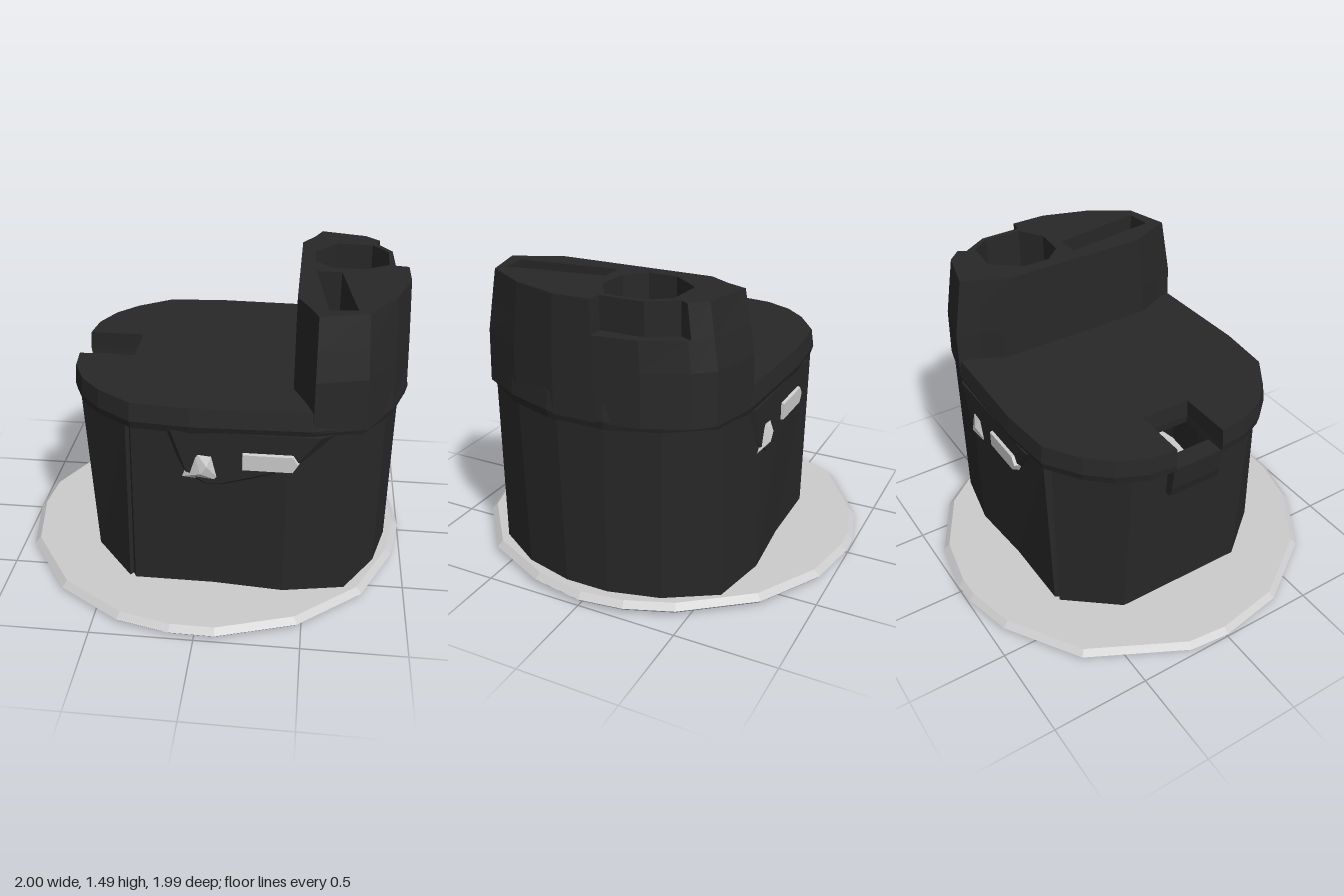
import * as THREE from 'three';
import { ConvexGeometry } from 'three/addons/geometries/ConvexGeometry.js';

const dark = new THREE.MeshStandardMaterial({ color: 0x282828, flatShading: true, side: THREE.DoubleSide });
const grey = new THREE.MeshStandardMaterial({ color: 0xcccccc, flatShading: true, side: THREE.DoubleSide });

// Outlines are [x, z] points running from -x past +z to +x and back past -z.
const mirrored = half => [...half, ...half.map(([x, z]) => [x, -z]).reverse()];
const scaled = (pts, sx, sz) => pts.map(([x, z]) => [x * sx, z * sz]);

// Walls through a stack of [y, outline] rings with equal point counts
function walls(rings) {
  const pos = [];
  for (let r = 0; r + 1 < rings.length; r++) {
    const [y0, lo] = rings[r], [y1, hi] = rings[r + 1];
    for (let i = 0; i < lo.length; i++) {
      const j = (i + 1) % lo.length;
      const a = [lo[i][0], y0, lo[i][1]], b = [lo[j][0], y0, lo[j][1]];
      const c = [hi[j][0], y1, hi[j][1]], d = [hi[i][0], y1, hi[i][1]];
      pos.push(...a, ...b, ...c, ...a, ...c, ...d);
    }
  }
  const g = new THREE.BufferGeometry();
  g.setAttribute('position', new THREE.Float32BufferAttribute(pos, 3));
  g.computeVertexNormals();
  return g;
}

// Flat horizontal face with holes
function cap(outline, y, holes = [], down = false) {
  const v = pts => pts.map(([x, z]) => new THREE.Vector2(x, down ? z : -z));
  const shape = new THREE.Shape(v(outline));
  shape.holes = holes.map(h => new THREE.Path(v(h)));
  return new THREE.ShapeGeometry(shape).rotateX(down ? Math.PI / 2 : -Math.PI / 2).translate(0, y, 0);
}

// Faceted solid between a back polygon and a front polygon, both [x, y]
function facet(back, zBack, front, zFront) {
  return new ConvexGeometry([
    ...back.map(([x, y]) => new THREE.Vector3(x, y, zBack)),
    ...front.map(([x, y]) => new THREE.Vector3(x, y, zFront)),
  ]);
}

export function createModel() {
  const model = new THREE.Group();
  const add = (name, geometry, material = dark, parent = model) => {
    const mesh = new THREE.Mesh(geometry, material);
    mesh.name = name;
    parent.add(mesh);
    return mesh;
  };

  // Uneven base disc, slightly higher towards +x
  const rim = [[-1, 0], [-0.94, 0.35], [-0.7, 0.71], [-0.38, 0.92], [-0.12, 0.985], [0.1, 0.99], [0.48, 0.87],
    [0.79, 0.61], [0.95, 0.27], [1, 0], [0.97, -0.22], [0.88, -0.45], [0.63, -0.77], [0.31, -0.95], [0.02, -1],
    [-0.1, -0.995], [-0.36, -0.93], [-0.73, -0.69], [-0.98, -0.21]];
  const foot = scaled(rim, 0.985, 0.985), baseFace = scaled(rim, 0.97, 0.97);
  const tilt = g => {
    const p = g.attributes.position;
    for (let i = 0; i < p.count; i++) p.setY(i, p.getY(i) + 0.009 * (p.getX(i) + 1));
    g.computeVertexNormals();
    return g;
  };
  const base = new THREE.Group();
  base.name = 'base';
  model.add(base);
  add('baseRim', tilt(walls([[0, foot], [0.015, rim], [0.043, baseFace]])), grey, base);
  add('baseTop', tilt(cap(baseFace, 0.043)), grey, base);
  add('baseBottom', tilt(cap(foot, 0, [], true)), grey, base);

  // Hollow body with a narrow seam on each side and a rounded +x end
  const bodyFoot = mirrored([[-0.58, 0.35], [-0.37, 0.61], [-0.355, 0.59], [-0.34, 0.62], [0.05, 0.625],
    [0.4, 0.655], [0.7, 0.6], [0.85, 0.36], [0.915, 0.11]]);
  const bodyTop = mirrored([[-0.63, 0.34], [-0.36, 0.61], [-0.345, 0.59], [-0.33, 0.635], [0.05, 0.65],
    [0.4, 0.655], [0.7, 0.6], [0.85, 0.37], [0.92, 0.12]]);
  add('body', walls([[0.04, bodyFoot], [0.93, bodyTop]]));

  // Openings that pass through the tower and the lid
  const roundHole = [[0.48, -0.12], [0.56, -0.03], [0.72, -0.02], [0.84, -0.1], [0.845, -0.29],
    [0.77, -0.39], [0.59, -0.4], [0.48, -0.26]];
  const slot = [[0.49, 0.03], [0.55, 0.52], [0.68, 0.51], [0.61, 0.03]];
  const holes = [roundHole, slot];

  // Overhanging lid with a square notch at -x
  const lid = mirrored([[-0.4, 0.13], [-0.68, 0.13], [-0.665, 0.27], [-0.6, 0.41], [-0.5, 0.52], [-0.33, 0.635],
    [-0.05, 0.66], [0.5, 0.645], [0.73, 0.58], [0.87, 0.38], [0.95, 0.14]]);
  const lidGroup = new THREE.Group();
  lidGroup.name = 'lid';
  model.add(lidGroup);
  const lidMiddle = scaled(lid, 1.01, 1.02);
  add('lidEdge', walls([[0.92, lid], [0.96, lidMiddle], [1.05, lid]]), dark, lidGroup);
  add('lidTop', cap(lid, 1.05, holes), dark, lidGroup);
  add('lidUnderside', cap(lid, 0.92, holes, true), dark, lidGroup);

  // Sill and tongue below the notch
  const tongue = [[-0.68, 0.93], [-0.58, 0.93], [-0.58, 0.75], [-0.65, 0.75], [-0.665, 0.8]];
  add('notchTongue', facet(tongue, -0.14, tongue, 0.14));

  // Raised tower, leaning inwards, with a cut in its outer back corner
  const towerTop = [[0.41, 0.38], [0.47, 0.5], [0.51, 0.6], [0.73, 0.54], [0.86, 0.33], [0.935, 0.1],
    [0.935, -0.08], [0.935, -0.09], [0.905, -0.28], [0.82, -0.46], [0.81, -0.47], [0.74, -0.54],
    [0.51, -0.6], [0.47, -0.5], [0.41, -0.4]];
  const flare = (dx, sz) => towerTop.map(([x, z]) => [x + (x > 0.7 ? dx : 0), z * sz]);
  const cutCorner = pts => pts.map((p, i) => ({ 7: [0.87, -0.09], 8: [0.866, -0.3], 9: [0.785, -0.43] })[i] ?? p);
  const ledge = flare(0.008, 1.045), topFace = cutCorner(towerTop);
  const tower = new THREE.Group();
  tower.name = 'tower';
  model.add(tower);
  add('towerWall', walls([[0.95, flare(0.025, 1.09)], [1.2, flare(0.015, 1.085)], [1.34, ledge],
    [1.34, cutCorner(ledge)], [1.495, topFace]]), dark, tower);
  add('towerTop', cap(topFace, 1.495, holes), dark, tower);
  holes.forEach((h, i) => add(i ? 'slotWall' : 'roundHoleWall',
    walls([[0.92, h], [1.495, h]]), dark, tower));

  // Side fittings, repeated by a half turn for the back
  for (const name of ['frontFittings', 'backFittings']) {
    const fittings = new THREE.Group();
    fittings.name = name;
    add('housing', facet(
      [[-0.2, 0.93], [-0.09, 0.68], [0, 0.62], [0.1, 0.62], [0.42, 0.71], [0.62, 0.93]], 0.61,
      [[-0.14, 0.93], [-0.07, 0.72], [0.02, 0.66], [0.09, 0.66], [0.42, 0.76], [0.55, 0.93]], 0.66), dark, fittings);
    add('knob', facet(
      [[-0.09, 0.68], [-0.04, 0.84], [0.06, 0.83], [0.1, 0.66]], 0.645,
      [[0, 0.72], [0.03, 0.76]], 0.685), grey, fittings);
    add('lamp', facet(
      [[0.19, 0.74], [0.19, 0.84], [0.43, 0.84], [0.46, 0.79], [0.43, 0.735]], 0.64,
      [[0.195, 0.75], [0.195, 0.83], [0.425, 0.83], [0.45, 0.79], [0.425, 0.75]], 0.675), grey, fittings);
    if (name === 'backFittings') {
      fittings.rotation.y = Math.PI;
      fittings.position.x = 0.35;
    }
    model.add(fittings);
  }
  return model;
}
